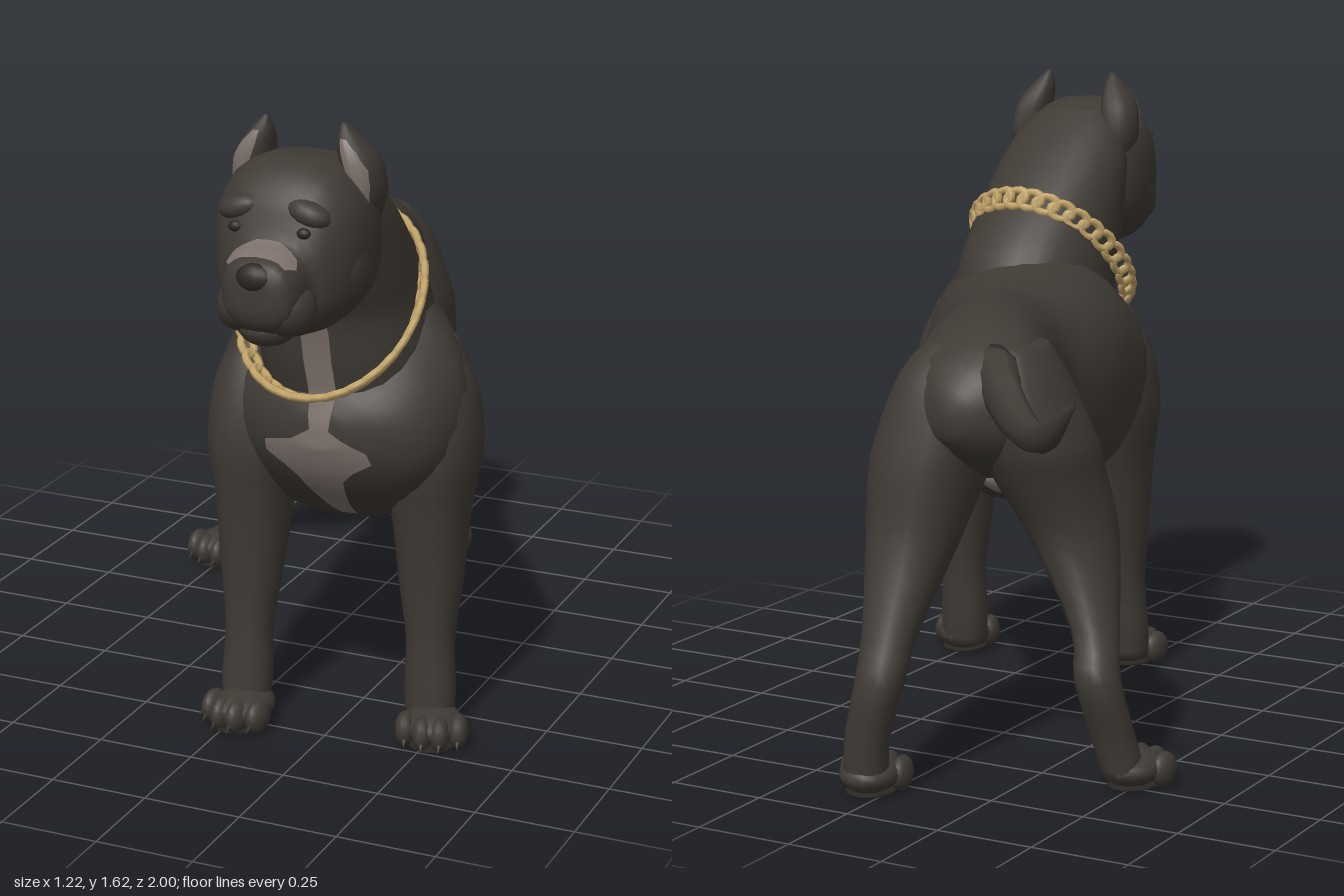
import * as THREE from 'three';

const mat = (name, color, side = THREE.FrontSide) => {
  const m = new THREE.MeshStandardMaterial({ color, side });
  m.name = name;
  return m;
};

// Closed smooth skin through rows [position, a0, a1, b0, b1]: the bounds of each cross-section.
// axis 'z': a = x, b = y.  axis 'y': a = x, b = z.
function loft(axis, rows, { power = 2.2, sides = 20, steps = 3 } = {}) {
  const at = (i, k) => rows[Math.max(0, Math.min(rows.length - 1, i))][k];
  const pos = [], idx = [];
  const put = (p, a, b) => (axis === 'z' ? pos.push(a, b, p) : pos.push(a, p, b));
  const round = (v) => Math.sign(v) * Math.abs(v) ** (2 / power);
  const count = (rows.length - 1) * steps + 1;
  const mids = [];
  for (let r = 0; r < count; r++) {
    const i = Math.min(Math.floor(r / steps), rows.length - 2), t = r / steps - i;
    const [p, a0, a1, b0, b1] = [0, 1, 2, 3, 4].map((k) => {
      const [A, B, C, D] = [at(i - 1, k), at(i, k), at(i + 1, k), at(i + 2, k)];
      return B + 0.5 * t * (C - A + t * (2 * A - 5 * B + 4 * C - D + t * (3 * (B - C) + D - A)));
    });
    mids.push([p, (a0 + a1) / 2, (b0 + b1) / 2]);
    for (let s = 0; s < sides; s++) {
      const q = (s / sides) * Math.PI * 2;
      put(p, (a0 + a1) / 2 + ((a1 - a0) / 2) * round(Math.cos(q)), (b0 + b1) / 2 + ((b1 - b0) / 2) * round(Math.sin(q)));
    }
  }
  put(...mids[0]);
  put(...mids[count - 1]);
  const end = count * sides, last = end - sides;
  for (let s = 0; s < sides; s++) {
    const n = (s + 1) % sides;
    for (let r = 0; r < count - 1; r++) {
      const o = r * sides, u = o + sides;
      idx.push(o + s, o + n, u + s, o + n, u + n, u + s);
    }
    idx.push(end, n, s, end + 1, last + s, last + n);
  }
  // Turn the faces outward whatever the axis and row order
  const P = (i) => new THREE.Vector3().fromArray(pos, i * 3);
  let volume = 0;
  for (let i = 0; i < idx.length; i += 3) volume += P(idx[i]).dot(P(idx[i + 1]).cross(P(idx[i + 2])));
  if (volume < 0) idx.reverse();
  return toGeometry(pos, idx);
}

function toGeometry(pos, idx) {
  const g = new THREE.BufferGeometry();
  g.setAttribute('position', new THREE.Float32BufferAttribute(pos, 3));
  g.setIndex(idx);
  g.computeVertexNormals();
  return g;
}

// Thin marking laid over meshes; rows [v, x0, x1], v = y seen from the front or z seen from above.
function drape(targets, rows, above = false, cols = 8) {
  const ray = new THREE.Raycaster(), pos = [], idx = [];
  const dir = above ? new THREE.Vector3(0, -1, 0) : new THREE.Vector3(0, 0, -1);
  const fine = [];
  rows.forEach((r, i) => {
    fine.push(r);
    if (i < rows.length - 1) for (const t of [1 / 3, 2 / 3]) fine.push(r.map((v, k) => v + (rows[i + 1][k] - v) * t));
  });
  let depth = 0;
  fine.forEach(([v, x0, x1], r) => {
    for (let c = 0; c <= cols; c++) {
      const x = x0 + ((x1 - x0) * c) / cols;
      ray.set(above ? new THREE.Vector3(x, 3, v) : new THREE.Vector3(x, v, 3), dir);
      const hit = ray.intersectObjects(targets)[0];
      if (hit) depth = (above ? hit.point.y : hit.point.z) + 0.007;
      pos.push(x, above ? depth : v, above ? v : depth);
      if (r && c) {
        const d = r * (cols + 1) + c, u = d - cols - 1;
        idx.push(u - 1, d - 1, u, u, d - 1, d);
      }
    }
  });
  return toGeometry(pos, idx);
}

export function createModel() {
  const dog = new THREE.Group();
  dog.name = 'dog';
  const coat = mat('dark coat', 0x3f3a34);
  const pale = mat('pale marking', 0x7d716c, THREE.DoubleSide);
  const gold = mat('gold', 0xc4a66a);
  const dark = mat('nose and pads', 0x2a2623);
  const add = (name, geo, material = coat, parent = dog) => {
    const m = new THREE.Mesh(geo, material);
    m.name = name;
    parent.add(m);
    return m;
  };
  const blob = (name, [x, y, z], [a, b, c], material = coat, parent = dog) => {
    const m = add(name, new THREE.SphereGeometry(1, 14, 10), material, parent);
    m.position.set(x, y, z);
    m.scale.set(a, b, c);
    return m;
  };

  // Trunk, neck, head and tail
  const torso = add('torso', loft('z', [
    [-0.75, -0.17, -0.09, 0.88, 0.97], [-0.68, -0.27, 0.03, 0.8, 1.06], [-0.55, -0.3, 0.09, 0.74, 1.125],
    [-0.4, -0.24, 0.14, 0.72, 1.15], [-0.2, -0.17, 0.24, 0.63, 1.14], [0, -0.16, 0.39, 0.55, 1.12],
    [0.3, -0.1, 0.55, 0.53, 1.17], [0.42, -0.07, 0.56, 0.57, 1.1],
    [0.52, 0.03, 0.52, 0.65, 1.0], [0.58, 0.12, 0.44, 0.73, 0.94], [0.61, 0.22, 0.34, 0.8, 0.88],
  ], { sides: 28 }));
  const neck = add('neck', loft('y', [
    [0.85, 0.06, 0.48, 0.15, 0.56], [1.0, 0.05, 0.47, 0.12, 0.61], [1.12, 0.055, 0.45, 0.14, 0.63],
    [1.2, 0.065, 0.445, 0.19, 0.67], [1.3, 0.075, 0.44, 0.29, 0.7], [1.4, 0.09, 0.43, 0.4, 0.72],
    [1.48, 0.12, 0.4, 0.5, 0.72], [1.53, 0.17, 0.35, 0.57, 0.7],
  ], { sides: 24 }));
  const head = add('head', loft('z', [
    [0.5, 0.16, 0.37, 1.22, 1.45], [0.6, 0.09, 0.44, 1.16, 1.53], [0.7, 0.08, 0.45, 1.14, 1.55],
    [0.78, 0.095, 0.44, 1.14, 1.53], [0.84, 0.13, 0.41, 1.15, 1.47], [0.875, 0.165, 0.385, 1.16, 1.39],
    [0.93, 0.185, 0.38, 1.18, 1.375], [0.975, 0.21, 0.365, 1.21, 1.355], [0.99, 0.25, 0.325, 1.25, 1.32],
  ], { power: 2.6, sides: 24 }));
  add('tail', loft('z', [
    [-0.62, -0.26, -0.1, 0.95, 1.09], [-0.7, -0.31, -0.19, 0.94, 1.05], [-0.78, -0.39, -0.29, 0.895, 0.99],
    [-0.86, -0.47, -0.39, 0.89, 0.965], [-0.93, -0.54, -0.475, 0.925, 0.985], [-1, -0.615, -0.605, 1.035, 1.05],
  ], { sides: 10 }));

  // Face
  const mid = 0.268;
  blob('chin', [0.28, 1.19, 0.89], [0.07, 0.045, 0.07]);
  blob('nose', [0.285, 1.325, 0.968], [0.05, 0.035, 0.03], dark).rotation.x = -0.2;
  for (const s of [-1, 1]) {
    blob('jowl', [0.282 + s * 0.055, 1.245, 0.9], [0.062, 0.07, 0.075]).rotation.z = s * 0.3;
    blob('cheek', [mid + s * 0.12, 1.3, 0.72], [0.065, 0.11, 0.1]);
    blob('brow', [mid + s * 0.085, 1.445, 0.825], [0.055, 0.03, 0.035]).rotation.z = -s * 0.3;
    blob('eye', [mid + s * 0.085, 1.405, 0.853], [0.018, 0.014, 0.014], dark);

    // Cropped ear with a pale inner face
    const mx = (x) => mid + s * (x - mid);
    const span = (v, a, b) => [v, Math.min(mx(a), mx(b)), Math.max(mx(a), mx(b))];
    const ear = add('ear', loft('y', [
      [...span(1.4, 0.375, 0.44), 0.57, 0.66], [...span(1.46, 0.365, 0.455), 0.56, 0.69],
      [...span(1.53, 0.355, 0.445), 0.575, 0.7], [...span(1.58, 0.352, 0.41), 0.61, 0.69],
      [...span(1.62, 0.36, 0.372), 0.65, 0.665],
    ], { sides: 12 }));
    add('innerEar', drape([ear], [span(1.59, 0.37, 0.385), span(1.56, 0.375, 0.413),
      span(1.52, 0.388, 0.438), span(1.48, 0.4, 0.442), span(1.44, 0.415, 0.438)]), pale);
  }

  // Leg with its paw centred at x, z and turned about y
  const leg = (side, rows, x, z, turn) => {
    add(side + 'Leg', loft('y', rows, { sides: 16 }));
    const paw = new THREE.Group();
    paw.name = side + 'Paw';
    paw.position.set(x, 0, z);
    paw.rotation.y = turn;
    dog.add(paw);
    blob('pawBase', [0, 0.05, -0.01], [0.075, 0.045, 0.095], coat, paw);
    blob('pad', [0, 0.008, 0], [0.065, 0.008, 0.085], dark, paw);
    for (const t of [-1.5, -0.5, 0.5, 1.5]) {
      const tx = t * 0.044, tz = Math.abs(t) > 1 ? 0.025 : 0.05;
      blob('toe', [tx, 0.045, tz], [0.026, 0.044, 0.045], coat, paw);
      const claw = add('claw', new THREE.ConeGeometry(0.009, 0.03, 6), dark, paw);
      claw.position.set(tx, 0.025, tz + 0.045);
      claw.rotation.x = 2.1;
    }
  };

  // Both front legs share half-widths [y, in x, in z] along a leaning line
  const frontLeg = (x, z, leanX, leanZ) => [
    [1.02, 0.05, 0.08], [0.9, 0.105, 0.133], [0.75, 0.12, 0.152], [0.6, 0.096, 0.12],
    [0.4, 0.078, 0.08], [0.25, 0.06, 0.062], [0.12, 0.065, 0.058], [0.03, 0.058, 0.053],
  ].map(([y, hx, hz]) => {
    const cx = x + leanX * y, cz = z + leanZ * y;
    return [y, cx - hx, cx + hx, cz - hz, cz + hz];
  });
  leg('leftFront', frontLeg(0.485, 0.38, -0.025, -0.055), 0.51, 0.425, 0.3);
  leg('rightFront', frontLeg(0.02, 0.475, 0.01, -0.1), 0.03, 0.52, -0.15);

  // Hind legs stand staggered, so each has its own bend
  leg('rightHind', [
    [1.08, -0.27, -0.15, -0.62, -0.45], [1, -0.32, -0.12, -0.68, -0.4], [0.85, -0.385, -0.12, -0.68, -0.36],
    [0.75, -0.395, -0.14, -0.64, -0.33], [0.6, -0.42, -0.22, -0.58, -0.33], [0.4, -0.47, -0.36, -0.6, -0.46],
    [0.29, -0.505, -0.395, -0.645, -0.525], [0.14, -0.525, -0.415, -0.595, -0.49], [0.03, -0.54, -0.44, -0.57, -0.46],
  ], -0.495, -0.47, -0.1);
  leg('leftHind', [
    [1.08, -0.14, 0.02, -0.64, -0.45], [1, -0.17, 0.08, -0.72, -0.4], [0.85, -0.16, 0.125, -0.77, -0.42],
    [0.75, -0.14, 0.13, -0.79, -0.46], [0.6, -0.11, 0.11, -0.81, -0.57], [0.4, -0.075, 0.06, -0.88, -0.74],
    [0.29, -0.07, 0.05, -0.925, -0.805], [0.14, -0.03, 0.08, -0.92, -0.82], [0.03, -0.02, 0.09, -0.91, -0.79],
  ], 0.04, -0.82, 0.15);

  // Pale markings
  add('chestMarking', drape([torso, neck], [
    [1.17, 0.24, 0.31], [0.95, 0.25, 0.32], [0.85, 0.26, 0.31], [0.82, 0.21, 0.36], [0.8, 0.13, 0.4],
    [0.77, 0.13, 0.41], [0.74, 0.18, 0.36], [0.71, 0.21, 0.33], [0.65, 0.24, 0.32], [0.58, 0.27, 0.31],
  ]), pale);
  add('muzzleMarking', drape([head], [
    [0.885, 0.25, 0.31], [0.905, 0.21, 0.36], [0.93, 0.195, 0.37], [0.96, 0.215, 0.355],
  ], true), pale);
  blob('bareBelly', [-0.12, 0.73, -0.42], [0.075, 0.05, 0.09], pale);

  // Chain collar: twisted links around a tilted ellipse
  const collar = new THREE.Group();
  collar.name = 'chainCollar';
  dog.add(collar);
  const centre = new THREE.Vector3(0.255, 1.125, 0.46);
  const u = new THREE.Vector3(1, 0, 0), v = new THREE.Vector3(0, 0.7, -0.714).normalize();
  const n = u.clone().cross(v);
  const linkGeo = new THREE.TorusGeometry(0.022, 0.01, 6, 12);
  linkGeo.scale(1.35, 1, 1);
  linkGeo.rotateZ(0.35);
  linkGeo.rotateX(0.5);
  const links = 32;
  for (let i = 0; i < links; i++) {
    const a = (i / links) * Math.PI * 2;
    const link = add('link', linkGeo, gold, collar);
    const t = u.clone().multiplyScalar(-0.217 * Math.sin(a)).addScaledVector(v, 0.265 * Math.cos(a)).normalize();
    link.quaternion.setFromRotationMatrix(new THREE.Matrix4().makeBasis(t, n, t.clone().cross(n)));
    link.position.copy(centre).addScaledVector(u, 0.217 * Math.cos(a)).addScaledVector(v, 0.265 * Math.sin(a));
  }
  return dog;
}
